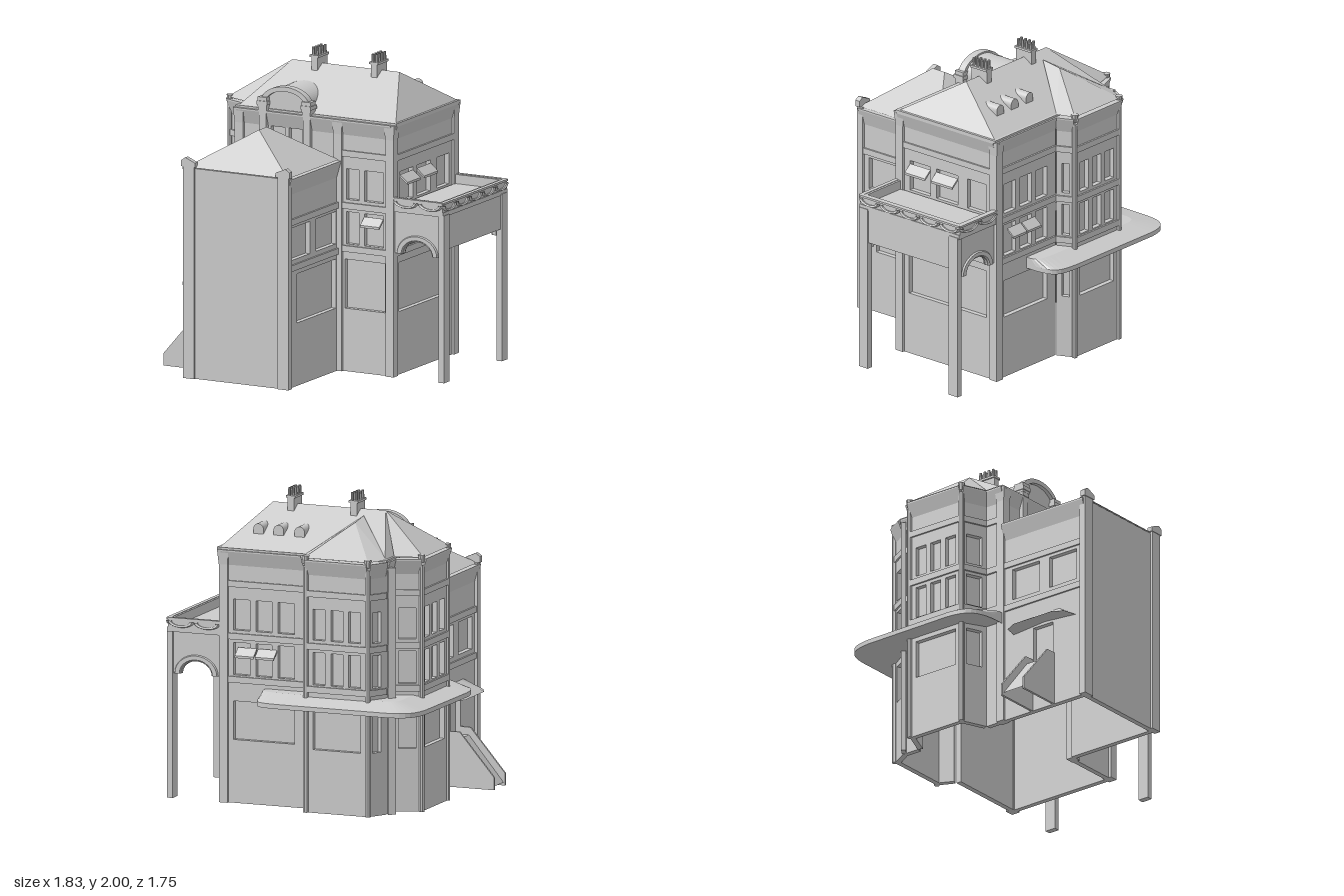
import * as THREE from 'three';

const mat = new THREE.MeshStandardMaterial({ color: 0xcccccc, flatShading: true, side: THREE.DoubleSide });

export function createModel() {
  const root = new THREE.Group();
  root.name = 'cornerBuilding';

  const add = (name, geo, parent = root) => {
    const m = new THREE.Mesh(geo, mat);
    m.name = name;
    parent.add(m);
    return m;
  };
  // Box given by its limits
  const box = (name, x0, x1, y0, y1, z0, z1, parent) =>
    add(name, new THREE.BoxGeometry(x1 - x0, y1 - y0, z1 - z0)
      .translate((x0 + x1) / 2, (y0 + y1) / 2, (z0 + z1) / 2), parent);
  // Flat polygons, each a fan of corner points
  const faces = (name, polys) => {
    const pos = [];
    for (const p of polys)
      for (let i = 1; i < p.length - 1; i++) pos.push(...p[0], ...p[i], ...p[i + 1]);
    const g = new THREE.BufferGeometry();
    g.setAttribute('position', new THREE.Float32BufferAttribute(pos, 3));
    g.computeVertexNormals();
    return add(name, g);
  };
  const extrude = (shape, depth) =>
    new THREE.ExtrudeGeometry(shape, { depth, bevelEnabled: false, curveSegments: 16 });
  const poly = (pts) => new THREE.Shape(pts.map(p => new THREE.Vector2(...p)));
  // Profile in (z, y), swept along local x from u0 to u1
  const sweepX = (name, pts, u0, u1, parent) =>
    add(name, extrude(poly(pts.map(([z, y]) => [-z, y])), u1 - u0).rotateY(Math.PI / 2).translate(u0, 0, 0), parent);

  // Sloping window awning in a wall's own frame
  const awning = (parent, u0, u1, y) =>
    sweepX('windowAwning', [[0, y + 0.06], [0.055, y + 0.015], [0.055, y], [0, y + 0.045]], u0, u1, parent);

  // Wall from p to q with recessed openings, string courses and a flared cornice
  const DEPTH = 0.035;
  const facade = (name, p, q, h, holes, courses = [], cornice = 0.1) => {
    const dx = q[0] - p[0], dz = q[1] - p[1], L = Math.hypot(dx, dz);
    const g = new THREE.Group();
    g.name = name;
    g.position.set(p[0], 0, p[1]);
    g.rotation.y = Math.atan2(-dz, dx);
    root.add(g);
    const s = poly([[0, 0], [L, 0], [L, h], [0, h]]);
    for (const [a, b, c, d] of holes) s.holes.push(new THREE.Path(
      [[a, c], [a, d], [b, d], [b, c]].map(v => new THREE.Vector2(...v))));
    add('wall', extrude(s, DEPTH).translate(0, 0, -DEPTH), g);
    for (const [a, b, c, d] of holes)
      add('recess', new THREE.PlaneGeometry(b - a, d - c).translate((a + b) / 2, (c + d) / 2, 0.002 - DEPTH), g);
    for (const y of courses) box('stringCourse', 0, L, y - 0.02, y + 0.02, 0, 0.012, g);
    if (cornice) sweepX('cornice', [[0, h - cornice], [0.03, h - 0.01], [0.03, h], [0, h]], 0, L, g);
    return g;
  };
  // Evenly spaced windows on two floors, with a ground floor panel
  const windows = (L, n, m = 0.05, gap = 0.04, rows = [[0.83, 1.04], [1.12, 1.32]], panel = true) => {
    const out = panel ? [[m, L - m, 0.41, 0.66]] : [];
    const w = (L - 2 * m - gap * (n - 1)) / n;
    for (const [y0, y1] of rows)
      for (let i = 0; i < n; i++) out.push([m + i * (w + gap), m + i * (w + gap) + w, y0, y1]);
    return out;
  };
  const courses = [0.8, 1.08, 1.42];

  // Main block; the front wall stays open towards the wing below its roof
  const front = facade('frontWall', [0.13, 0.19], [0.53, 0.19], 1.64, [
    [0.05, 0.34, 0.41, 0.73], [0.06, 0.15, 0.83, 1.04], [0.19, 0.33, 0.83, 1.04],
    [0.06, 0.15, 1.12, 1.32], [0.19, 0.33, 1.12, 1.32]], courses);
  awning(front, 0.19, 0.33, 0.96);
  facade('frontWallUpper', [-0.6, 0.19], [0.13, 0.19], 0.27,
    [[0.24, 0.34, 0.03, 0.24], [0.37, 0.47, 0.03, 0.24]], []).position.y = 1.37;
  const right = facade('rightWall', [0.53, 0.19], [0.53, -0.62], 1.64, [
    [0.08, 0.73, 0.41, 0.73], [0.09, 0.26, 1.12, 1.32], [0.31, 0.49, 1.12, 1.32], [0.57, 0.73, 1.12, 1.32]], courses);
  awning(right, 0.09, 0.26, 1.24);
  awning(right, 0.31, 0.49, 1.24);
  const back = facade('backWall', [0.53, -0.62], [-0.05, -0.62], 1.64, windows(0.58, 3, 0.08), courses);
  awning(back, 0.11, 0.24, 0.95);
  awning(back, 0.25, 0.38, 0.95);
  facade('leftWall', [-0.6, 0.06], [-0.6, 0.2], 1.64, [], courses);
  facade('cornerWall', [-0.6, -0.62], [-0.6, -0.5], 1.64, [], courses);

  // Two canted bays
  const bayBack = [[-0.05, -0.63], [-0.1, -0.74], [-0.53, -0.74], [-0.6, -0.62]];
  const bayLeft = [[-0.6, -0.5], [-0.77, -0.43], [-0.77, -0.01], [-0.6, 0.06]];
  for (const [label, pts] of [['backBay', bayBack], ['leftBay', bayLeft]]) {
    for (let i = 0; i < 3; i++) {
      const L = Math.hypot(pts[i + 1][0] - pts[i][0], pts[i + 1][1] - pts[i][1]);
      facade(label + 'Wall', pts[i], pts[i + 1], 1.64, windows(L, i === 1 ? 3 : 1, i === 1 ? 0.05 : 0.035), courses);
    }
    for (const [x, z] of pts.slice(1, 3)) {
      add(label + 'Post', new THREE.CylinderGeometry(0.018, 0.018, 1.6, 8).translate(x, 0.8, z));
      add(label + 'PostCap', new THREE.CylinderGeometry(0.024, 0.018, 0.05, 8).translate(x, 1.64, z));
    }
  }
  add('cornerPost', new THREE.BoxGeometry(0.05, 1.6, 0.03).rotateY(0.6).translate(-0.63, 0.8, -0.59));

  // Corner pilasters with flared heads
  for (const [x, z] of [[0.515, 0.18], [0.515, -0.61], [0.135, 0.18], [-0.585, 0.18]]) {
    box('cornerPilaster', x - 0.03, x + 0.03, 0, 1.56, z - 0.03, z + 0.03);
    add('pilasterHead', new THREE.CylinderGeometry(0.055, 0.042, 0.1, 4).rotateY(Math.PI / 4).translate(x, 1.59, z));
  }

  // Main roof and bay roofs
  const E = 1.65, X0 = -0.6, X1 = 0.545, Z0 = -0.625, Z1 = 0.18;
  const ra = [-0.43, 1.89, -0.215], rb = [0.35, 1.89, -0.215];
  const c = [[X0, E, Z1], [X1, E, Z1], [X1, E, Z0], [X0, E, Z0]];
  faces('mainRoof', [[c[0], c[1], rb, ra], [c[1], c[2], rb], [c[2], c[3], ra, rb], [c[3], c[0], ra]]);
  box('eaves', X0 - 0.015, X1 + 0.015, 1.635, 1.653, Z0 - 0.012, Z1 + 0.02);
  const bl = [[-0.61, E, -0.5], [-0.785, E, -0.435], [-0.785, E, 0.0], [-0.61, E, 0.07]];
  faces('leftBayRoof', [[bl[0], bl[1], ra], [bl[1], bl[2], ra], [bl[2], bl[3], ra], [bl[0], bl[3], bl[2], bl[1]]]);
  const bb = [[-0.05, E, -0.63], [-0.09, E, -0.75], [-0.535, E, -0.75], [-0.605, E, -0.62]];
  const peak = [-0.31, 1.84, -0.43], tail = [-0.31, 1.86, -0.29];
  faces('backBayRoof', [[bb[0], bb[1], peak], [bb[1], bb[2], peak], [bb[2], bb[3], peak],
    [bb[0], peak, tail], [bb[3], tail, peak], [bb[0], bb[3], bb[2], bb[1]]]);

  // Chimneys with rows of pots
  for (const x of [-0.235, 0.2]) {
    box('chimneyStack', x - 0.022, x + 0.022, 1.83, 1.94, -0.28, -0.15);
    box('chimneyCap', x - 0.032, x + 0.032, 1.935, 1.95, -0.285, -0.145);
    for (const dx of [-0.014, 0.014]) for (let i = 0; i < 4; i++)
      add('chimneyPot', new THREE.CylinderGeometry(0.009, 0.011, 0.05, 8).translate(x + dx, 1.975, -0.266 + i * 0.034));
  }

  // Small round-topped roof vents
  const ventShape = poly([[-0.035, 0], [0.035, 0], [0.035, 0.04]]);
  ventShape.absarc(0, 0.04, 0.035, 0, Math.PI);
  for (const x of [0.05, 0.195, 0.335]) add('roofVent', extrude(ventShape, 0.11).translate(x, 1.72, -0.49));

  // Barrel dormer with arch trim and columns
  const dx = -0.245;
  const arch = poly([[-0.155, 1.62], [0.155, 1.62], [0.155, 1.69]]);
  arch.absellipse(0, 1.69, 0.155, 0.11, 0, Math.PI);
  add('barrelDormer', extrude(arch, 0.28).translate(dx, 0, -0.09));
  const trim = new THREE.Shape().absellipse(0, 1.69, 0.18, 0.12, 0, Math.PI);
  trim.absellipse(0, 1.69, 0.145, 0.09, Math.PI, 0, true);
  add('dormerArch', extrude(trim, 0.05).translate(dx, 0, 0.165));
  for (const s of [-1, 1]) {
    const x = dx + s * 0.16;
    box('dormerColumn', x - 0.025, x + 0.025, 1.38, 1.66, 0.17, 0.22);
    [[0.03, 1.64, 1.665], [0.038, 1.68, 1.705], [0.032, 1.665, 1.73]].forEach(([r, y0, y1]) =>
      box('columnCapital', x - r, x + r, y0, y1, 0.19 - r, 0.195 + r));
  }

  // Front wing
  facade('wingFront', [-0.6, 0.86], [0.13, 0.86], 1.37, [], [], 0);
  const wingRows = [[0.83, 1.04]];
  facade('wingRight', [0.13, 0.86], [0.13, 0.2], 1.37,
    [[0.13, 0.64, 0.41, 0.73], [0.07, 0.3, 0.83, 1.04], [0.38, 0.64, 0.83, 1.04]], [0.78, 1.08], 0.11);
  facade('wingLeft', [-0.6, 0.2], [-0.6, 0.86], 1.37,
    [[0.24, 0.4, 0.32, 0.58], ...windows(0.66, 2, 0.07, 0.08, wingRows, false)], [0.78, 1.08], 0.11);
  for (const s of [-1, 1]) {
    const x = -0.235 + s * 0.345;
    box('wingPilaster', x - 0.04, x + 0.04, 0, 1.38, 0.83, 0.875);
    // Shoulder piece, high outside and falling inwards
    add('wingPilasterCap', extrude(poly([[s * 0.05, 1.38], [s * 0.05, 1.42], [s * 0.02, 1.44],
      [-s * 0.05, 1.41], [-s * 0.05, 1.38]]), 0.035).translate(x, 0, 0.845));
  }
  const w = [[-0.605, 1.375, 0.865], [0.14, 1.375, 0.865], [0.14, 1.375, 0.2], [-0.605, 1.375, 0.2]];
  const wa = [-0.235, 1.6, 0.57], wb = [-0.235, 1.6, 0.47];
  faces('wingRoof', [[w[0], w[1], wa], [w[1], w[2], wb, wa], [w[2], w[3], wb], [w[3], w[0], wa, wb], [w[3], w[2], w[1], w[0]]]);

  // Rounded canopy wrapped around the bays
  const out = new THREE.Shape();
  out.moveTo(0.23, -0.62);
  out.lineTo(0.23, -0.7);
  out.bezierCurveTo(0.22, -0.84, 0.2, -0.865, 0.02, -0.87);
  out.lineTo(-0.7, -0.87);
  out.bezierCurveTo(-0.85, -0.86, -0.89, -0.8, -0.9, -0.66);
  out.lineTo(-0.91, -0.02);
  out.bezierCurveTo(-0.9, 0.13, -0.86, 0.18, -0.7, 0.195);
  out.lineTo(-0.59, 0.195);
  const rings = out.getPoints(8).map(({ x, y: z }) => {
    const ix = Math.max(x, -0.6), iz = Math.max(z, -0.62);
    const mx = ix + (x - ix) * 0.4, mz = iz + (z - iz) * 0.4;
    return [[ix, 0.7, iz], [x, 0.68, z], [x, 0.71, z], [mx, 0.755, mz], [ix, 0.755, iz]];
  });
  const strips = [];
  for (let i = 0; i < rings.length - 1; i++) for (let k = 0; k < 4; k++)
    strips.push([rings[i][k], rings[i][k + 1], rings[i + 1][k + 1], rings[i + 1][k]]);
  faces('canopy', strips);

  // Side door awning, steep stair and its side walls
  const aw = [[0.28, -0.6], [0.3, -0.69], [0.38, -0.73], [0.68, -0.73], [0.76, -0.69], [0.78, -0.6]];
  const awFaces = [];
  for (let i = 0; i < 5; i++) {
    const [z0, x0] = aw[i], [z1, x1] = aw[i + 1], t0 = 0.4 + i * 0.05, t1 = 0.45 + i * 0.05;
    awFaces.push([[x0, 0.58, z0], [x1, 0.58, z1], [-0.6, 0.66, t1], [-0.6, 0.66, t0]]);
    awFaces.push([[x0, 0.58, z0], [x1, 0.58, z1], [-0.6, 0.6, 0.53]]);
  }
  faces('doorAwning', awFaces);
  const side = poly([[-0.91, 0], [-0.91, 0.08], [-0.67, 0.36], [-0.6, 0.36], [-0.6, 0]]);
  for (const z of [0.42, 0.595]) add('stairSide', extrude(side, 0.015).translate(0, 0, z));
  faces('stairFlight', [[[-0.9, 0.02, 0.43], [-0.9, 0.02, 0.6], [-0.66, 0.31, 0.6], [-0.66, 0.31, 0.43]],
    [[-0.66, 0.31, 0.43], [-0.66, 0.31, 0.6], [-0.6, 0.31, 0.6], [-0.6, 0.31, 0.43]]]);

  // Raised terrace on posts with arched ends
  box('terraceDeck', 0.54, 0.905, 1.08, 1.11, -0.635, 0.205);
  box('terraceBeam', 0.875, 0.9, 0.86, 1.08, -0.6, 0.17);
  for (const [z0, z1] of [[0.13, 0.205], [-0.625, -0.55]]) box('terracePost', 0.87, 0.91, 0, 1.09, z0, z1);
  const end = poly([[0.54, 0.81], [0.605, 0.81]]);
  end.absellipse(0.71, 0.81, 0.105, 0.085, Math.PI, 0, true);
  end.lineTo(0.875, 0.81);
  end.lineTo(0.875, 1.09);
  end.lineTo(0.54, 1.09);
  for (const z of [0.16, -0.615]) {
    add('terraceArch', extrude(end, 0.03).translate(0, 0, z));
    add('archMoulding', new THREE.TorusGeometry(0.13, 0.03, 6, 16, Math.PI).scale(1, 0.84, 1).translate(0.71, 0.81, z + 0.015));
  }
  // Parapet with draped swags
  const swags = (name, p, q, n) => {
    const g = facade(name, p, q, 0.07, [], [], 0), L = Math.hypot(q[0] - p[0], q[1] - p[1]), s = L / n;
    g.position.y = 1.1;
    box('parapetRail', 0, L, 0.06, 0.073, -0.02, 0.008, g);
    for (let i = 0; i < n; i++)
      add('swag', new THREE.TorusGeometry(s * 0.42, 0.016, 5, 10, Math.PI).rotateZ(Math.PI)
        .scale(1, 0.035 / (s * 0.42), 1).translate((i + 0.5) * s, 0.052, 0), g);
  };
  swags('terraceFrontParapet', [0.54, 0.205], [0.9, 0.205], 2);
  swags('terraceSideParapet', [0.9, 0.205], [0.9, -0.635], 5);
  swags('terraceBackParapet', [0.9, -0.635], [0.54, -0.635], 2);

  return root;
}
